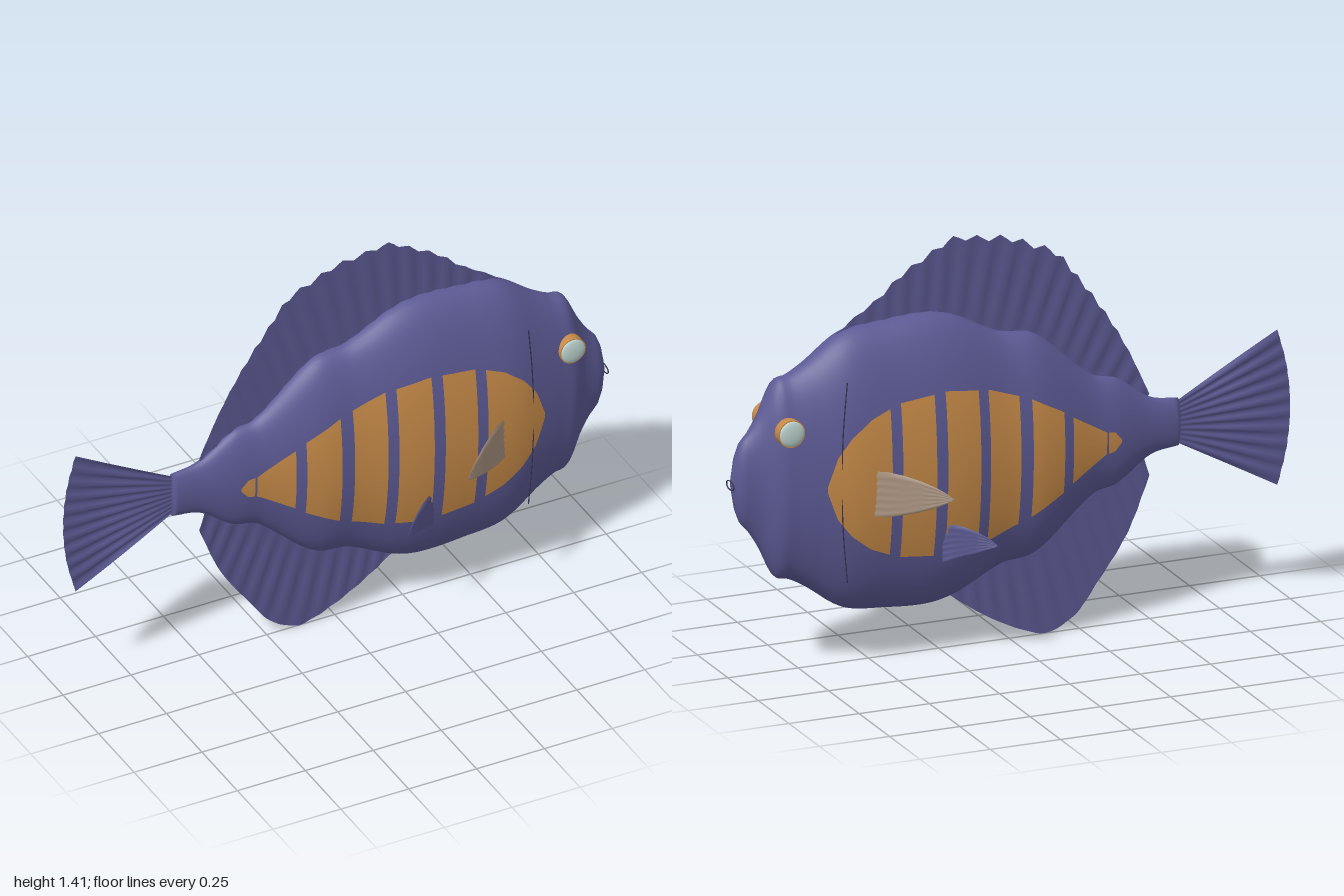
import * as THREE from 'three';
import { mergeVertices } from 'three/addons/utils/BufferGeometryUtils.js';

const mat = (name, color, side = THREE.FrontSide) => {
  const m = new THREE.MeshStandardMaterial({ color, side });
  m.name = name;
  return m;
};

const MID = 0.672; // height of the body axis
const PATCH_MID = 0.655; // height of the flank patch axis
// body stations: x, half height, half width
const BODY = [
  [-0.6, 0.082, 0.025], [-0.5, 0.1, 0.035], [-0.38, 0.182, 0.058], [-0.29, 0.208, 0.07],
  [-0.09, 0.375, 0.115], [0.04, 0.402, 0.125], [0.2, 0.48, 0.15], [0.3, 0.502, 0.158],
  [0.45, 0.495, 0.158], [0.6, 0.473, 0.155], [0.73, 0.385, 0.127], [0.79, 0.352, 0.112],
  [0.84, 0.335, 0.1], [0.89, 0.235, 0.066], [0.93, 0.17, 0.05], [0.96, 0.135, 0.042],
  [0.98, 0.075, 0.025], [0.987, 0.03, 0.012],
];
// half height of the orange flank patch
const PATCH = [
  [-0.375, 0.006], [-0.35, 0.034], [-0.32, 0.038], [-0.19, 0.115], [-0.155, 0.14], [-0.035, 0.205],
  [0.125, 0.263], [0.28, 0.284], [0.45, 0.266], [0.55, 0.225], [0.62, 0.17], [0.67, 0.105], [0.705, 0.005],
];

// smooth (Hermite) or straight interpolation of column k at x
function sample(table, x, k, smooth = true) {
  const n = table.length;
  let i = 0;
  while (i < n - 2 && x > table[i + 1][0]) i++;
  const a = table[i], b = table[i + 1], w = b[0] - a[0];
  const t = THREE.MathUtils.clamp((x - a[0]) / w, 0, 1);
  if (!smooth) return a[k] + (b[k] - a[k]) * t;
  const slope = (j) => {
    const p = table[Math.max(j - 1, 0)], q = table[Math.min(j + 1, n - 1)];
    return (q[k] - p[k]) / (q[0] - p[0]);
  };
  const t2 = t * t, t3 = t2 * t;
  return (2 * t3 - 3 * t2 + 1) * a[k] + (t3 - 2 * t2 + t) * w * slope(i)
    + (3 * t2 - 2 * t3) * b[k] + (t3 - t2) * w * slope(i + 1);
}

// smooth surface from a grid of points, at(i, j) -> [x, y, z]
function gridGeometry(rows, cols, at, flip = false) {
  const pos = [], idx = [];
  for (let i = 0; i <= rows; i++) for (let j = 0; j <= cols; j++) pos.push(...at(i, j));
  for (let i = 0; i < rows; i++) for (let j = 0; j < cols; j++) {
    const a = i * (cols + 1) + j, b = a + 1, c = a + cols + 1, d = c + 1;
    if (flip) idx.push(a, c, b, b, c, d);
    else idx.push(a, b, c, b, d, c);
  }
  const g = new THREE.BufferGeometry();
  g.setAttribute('position', new THREE.Float32BufferAttribute(pos, 3));
  g.setIndex(idx);
  const welded = mergeVertices(g, 1e-6);
  welded.computeVertexNormals();
  return welded;
}

function bodyGeometry() {
  const xs = [-0.6];
  for (let i = 0; i <= 110; i++) xs.push(-0.6 + 1.587 * i / 110);
  xs.push(0.99);
  return gridGeometry(xs.length - 1, 64, (i, j) => {
    const a = (j % 64) / 64 * Math.PI * 2;
    const s = i === 0 || i === xs.length - 1 ? 0 : 1; // closed ends
    return [xs[i], MID + s * sample(BODY, xs[i], 1) * Math.cos(a), s * sample(BODY, xs[i], 2) * Math.sin(a)];
  });
}

// one orange band lying on the flank between x0 and x1
function bandGeometry(x0, x1, side) {
  const rows = Math.max(4, Math.ceil((x1 - x0) / 0.012));
  return gridGeometry(rows, 24, (i, j) => {
    const x = x0 + (x1 - x0) * i / rows;
    const y = PATCH_MID + sample(PATCH, x, 1, false) * (j / 12 - 1);
    const h = sample(BODY, x, 1), w = sample(BODY, x, 2);
    return [x, y, side * (w * Math.sqrt(Math.max(0, 1 - ((y - MID) / h) ** 2)) + 0.003)];
  }, side > 0);
}

// pleated fin between a root line and an edge line
function finGeometry(root, edge, rays, pleat, scallop = () => 0) {
  const curve = (pts) => new THREE.CatmullRomCurve3(pts.map(([x, y]) => new THREE.Vector3(x, y, 0)));
  const a = curve(root), b = curve(edge), n = rays * 4;
  return gridGeometry(n, 6, (i, j) => {
    const t = i / n, p = a.getPointAt(t).lerp(b.getPointAt(t), j / 6);
    const ridge = Math.cos(t * rays * Math.PI * 2);
    return [p.x, p.y + scallop(t) * ridge * j / 6, pleat * ridge * Math.sin(j / 6 * 2.7)];
  });
}

// paired fin: outline rows are (reach, top, bottom), swept outwards and back
function sideFinGeometry(outline, x, z, dx, dz, side) {
  return gridGeometry(outline.length - 1, 12, (i, j) => {
    const [u, top, bottom] = outline[i];
    const ridge = (j % 2 ? 0.003 : -0.003) * Math.sin(u * Math.PI);
    return [x + dx * u + ridge, top + (bottom - top) * j / 12, side * (z + dz * u + ridge)];
  });
}

export function createModel() {
  const blue = mat('body blue', 0x5c5a94);
  const finBlue = mat('fin blue', 0x5a5890, THREE.DoubleSide);
  const orange = mat('flank orange', 0xc68a48);
  const tan = mat('pectoral tan', 0xa8927f, THREE.DoubleSide);
  const pale = mat('eye pale', 0xbdd3cf);
  const dark = mat('line dark', 0x34334f);

  const model = new THREE.Group();
  model.name = 'fish';
  const add = (name, geometry, material) => {
    const m = new THREE.Mesh(geometry, material);
    m.name = name;
    model.add(m);
    return m;
  };

  add('body', bodyGeometry(), blue);

  // upright fins
  add('dorsalFin', finGeometry(
    [[-0.47, 0.74], [-0.3, 0.83], [-0.08, 1], [0.15, 1.06], [0.4, 1.12], [0.6, 1.1]],
    [[-0.5, 0.78], [-0.42, 0.95], [-0.34, 1.085], [-0.235, 1.23], [-0.17, 1.31], [-0.075, 1.355], [0, 1.385],
      [0.1, 1.4], [0.2, 1.41], [0.28, 1.37], [0.39, 1.305], [0.46, 1.245], [0.56, 1.18], [0.62, 1.135]],
    18, 0.004, (t) => 0.011 * Math.sin(t * Math.PI)), finBlue);
  add('analFin', finGeometry(
    [[-0.47, 0.6], [-0.3, 0.5], [-0.08, 0.34], [0.05, 0.3], [0.22, 0.21]],
    [[-0.5, 0.5], [-0.42, 0.31], [-0.31, 0.15], [-0.235, 0.055], [-0.135, 0.006], [-0.07, 0.02],
      [0.04, 0.07], [0.13, 0.125], [0.22, 0.19]],
    13, 0.004), finBlue);
  add('tailFin', finGeometry(
    [[-0.59, 0.74], [-0.59, MID], [-0.59, 0.604]],
    [[-0.955, 0.94], [-0.988, 0.81], [-1, MID], [-0.988, 0.535], [-0.955, 0.404]],
    10, 0.005), finBlue);

  // orange flank bands, paired fins, eyes and gill lines
  const bands = [[-0.375, -0.327], [-0.32, -0.19], [-0.155, -0.035], [0.01, 0.125],
    [0.162, 0.285], [0.325, 0.445], [0.483, 0.703]];
  const pectoral = [[0, 0.705, 0.55], [0.2, 0.705, 0.55], [0.4, 0.695, 0.56], [0.6, 0.68, 0.575],
    [0.8, 0.66, 0.595], [0.93, 0.642, 0.612], [1, 0.628, 0.622]];
  const pelvic = [[0, 0.475, 0.35], [0.2, 0.482, 0.362], [0.4, 0.475, 0.375], [0.6, 0.462, 0.385],
    [0.8, 0.447, 0.4], [0.93, 0.432, 0.41], [1, 0.422, 0.416]];
  for (const s of [1, -1]) {
    const tag = s > 0 ? 'Left' : 'Right';
    bands.forEach(([a, b], i) => add(`flankBand${tag}${i + 1}`, bandGeometry(a, b, s), orange));
    add(`pectoralFin${tag}`, sideFinGeometry(pectoral, 0.555, 0.15, -0.225, 0.16, s), tan);
    add(`pelvicFin${tag}`, sideFinGeometry(pelvic, 0.295, 0.135, -0.15, 0.105, s), finBlue);

    const rim = add(`eyeRim${tag}`, new THREE.CylinderGeometry(0.047, 0.047, 0.034, 32), orange);
    rim.rotation.x = Math.PI / 2;
    rim.position.set(0.82, 0.856, s * 0.094);
    const eye = add(`eye${tag}`, new THREE.SphereGeometry(0.044, 32, 16), pale);
    eye.scale.z = 0.25;
    eye.position.set(0.82, 0.856, s * 0.11);

    const gill = new THREE.CatmullRomCurve3([[0.638, 1.02], [0.652, 0.85], [0.657, MID], [0.652, 0.5], [0.638, 0.33]]
      .map(([x, y]) => new THREE.Vector3(x, y, s * 0.145)));
    add(`gillLine${tag}`, new THREE.TubeGeometry(gill, 24, 0.002, 6), dark);
  }

  // lips
  const mouth = add('mouth', new THREE.TorusGeometry(0.03, 0.0025, 6, 24), dark);
  mouth.rotation.y = Math.PI / 2;
  mouth.scale.y = 0.5;
  mouth.position.set(0.992, 0.668, 0);

  return model;
}
